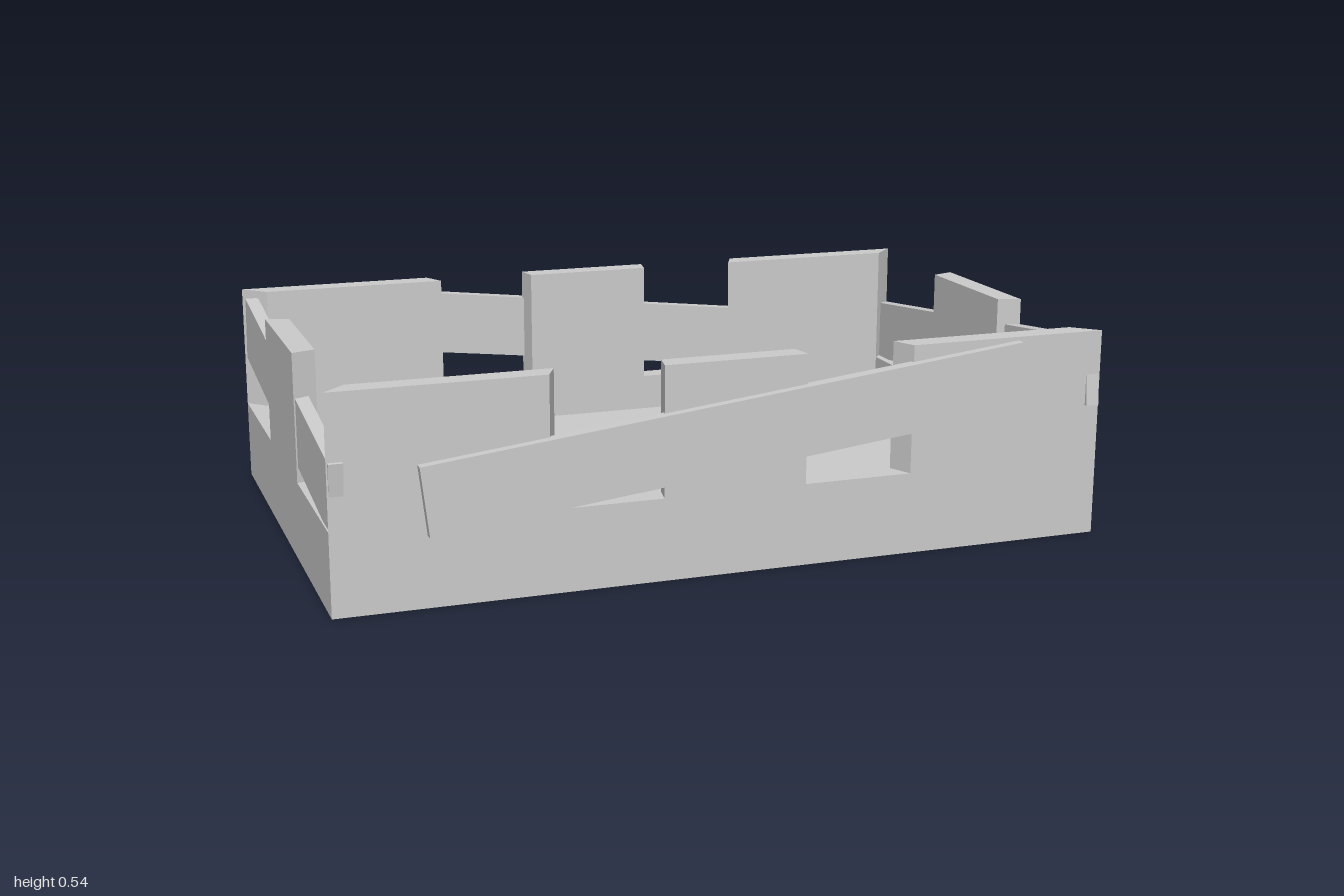
import * as THREE from 'three';

const W = 1, D = 0.63, H = 0.54, LOW = 0.21, T = 0.06, FLOOR = 0.11;
const mat = new THREE.MeshStandardMaterial({ color: 0xcccccc, flatShading: true });
const rad = THREE.MathUtils.degToRad;

function addMesh(parent, name, geometry) {
  const mesh = new THREE.Mesh(geometry, mat);
  mesh.name = name;
  parent.add(mesh);
  return mesh;
}

// Broken wall: upright slab whose inner face is scaled in, giving mitred ends and splayed notches
function wallGeometry(outline, halfLength) {
  const half = outline.map(([x, y]) => new THREE.Vector2(x, y));
  const mirrored = half.map((p) => new THREE.Vector2(-p.x, p.y)).reverse();
  const geo = new THREE.ExtrudeGeometry(new THREE.Shape([...half, ...mirrored]), { depth: T, bevelEnabled: false });
  const pos = geo.attributes.position;
  const inset = (halfLength - T) / halfLength;
  for (let i = 0; i < pos.count; i++) {
    if (pos.getZ(i) < T / 2) pos.setX(i, pos.getX(i) * inset);
  }
  geo.computeVertexNormals();
  return geo;
}

export function createModel() {
  const crate = new THREE.Group();
  crate.name = 'brokenCrate';

  // Floor
  addMesh(crate, 'floor', new THREE.BoxGeometry(2 * (W - T), FLOOR, 2 * (D - T))).position.y = FLOOR / 2;

  const longWall = wallGeometry(
    [[W, 0], [W, H], [0.47, H], [0.47, LOW], [0.185, LOW], [0.185, H]], W);
  const shortWall = wallGeometry([[D, 0], [D, LOW], [0.21, LOW], [0.21, H]], D);

  // Walls and the crooked planks across them
  for (const [side, sign] of [['front', 1], ['back', -1]]) {
    const group = new THREE.Group();
    group.name = side + 'Side';
    group.rotation.y = sign > 0 ? 0 : Math.PI;
    addMesh(group, side + 'Wall', longWall).position.z = D - T;
    const plank = addMesh(group, side + 'Plank', new THREE.BoxGeometry(1.56, 0.174, 0.035));
    plank.position.set(-0.004, 0.355, D + 0.0075);
    plank.rotation.z = rad(6.6);
    crate.add(group);
  }
  for (const [side, sign] of [['left', 1], ['right', -1]]) {
    const group = new THREE.Group();
    group.name = side + 'Side';
    group.rotation.y = sign * Math.PI / 2;
    addMesh(group, side + 'Wall', shortWall).position.z = W - T;
    const plank = addMesh(group, side + 'Plank', new THREE.BoxGeometry(1.245, 0.174, 0.035));
    plank.position.set(-sign * 0.011, 0.36, W - 0.0215);
    plank.rotation.z = rad(-6.7);
    crate.add(group);
  }

  // Loose boards on the floor, pivoted on their raised front edge
  const boards = [
    { length: 1.255, at: [-0.0125, 0.168, -0.03], yaw: -7.3, tilt: -15 },
    { length: 0.84, at: [-0.27, 0.14, 0.325], yaw: 19.5, tilt: -19 },
  ];
  boards.forEach(({ length, at, yaw, tilt }, i) => {
    const geo = new THREE.BoxGeometry(length, 0.025, 0.148).translate(0, -0.0125, -0.074);
    const board = addMesh(crate, 'looseBoard' + (i + 1), geo);
    board.position.set(...at);
    board.rotation.set(rad(tilt), rad(yaw), 0, 'YXZ');
  });

  return crate;
}
